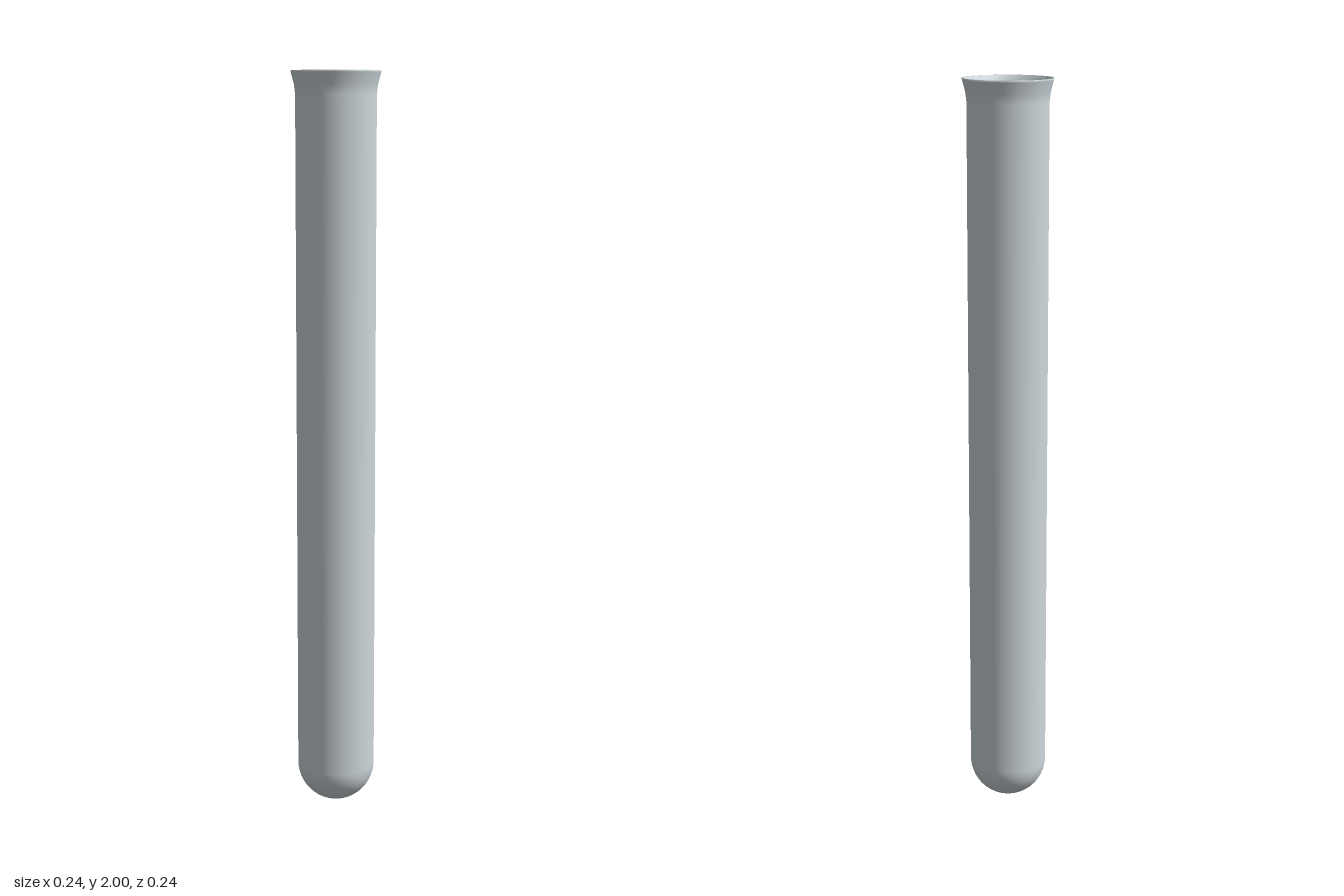
import * as THREE from 'three';

const SEGMENTS = 64;

// Quarter-circle profile rising from the axis to the given radius
function roundBottom(radius, floor, steps = 14) {
  const points = [];
  for (let i = 0; i <= steps; i++) {
    const a = (i / steps) * Math.PI / 2;
    points.push(new THREE.Vector2(radius * Math.sin(a), floor + radius * (1 - Math.cos(a))));
  }
  return points;
}

const toPoints = (list) => list.map(([x, y]) => new THREE.Vector2(x, y));

function lathePart(name, points, material) {
  const mesh = new THREE.Mesh(new THREE.LatheGeometry(points, SEGMENTS), material);
  mesh.name = name;
  return mesh;
}

export function createModel() {
  const glass = new THREE.MeshStandardMaterial({ color: 0xcfd8dc });
  glass.name = 'pale grey glass';
  const teal = new THREE.MeshStandardMaterial({ color: 0x44c0b8 });
  teal.name = 'teal liquid';

  const group = new THREE.Group();
  group.name = 'testTube';

  // Tube: outer wall up, over the flared lip, then down the inner wall
  const tube = [
    ...roundBottom(0.106, 0),
    ...toPoints([
      [0.106, 1.94], [0.109, 1.965], [0.117, 1.995], [0.118, 2.0],
      [0.114, 2.0], [0.102, 1.975], [0.095, 1.94],
    ]),
    ...roundBottom(0.094, 0.012).reverse(),
  ];
  group.add(lathePart('tube', tube, glass));

  // Liquid filling the lower part, with a level surface
  const liquid = [...roundBottom(0.0855, 0.02), ...toPoints([[0.0855, 0.85], [0, 0.85]])];
  group.add(lathePart('liquid', liquid, teal));

  return group;
}
